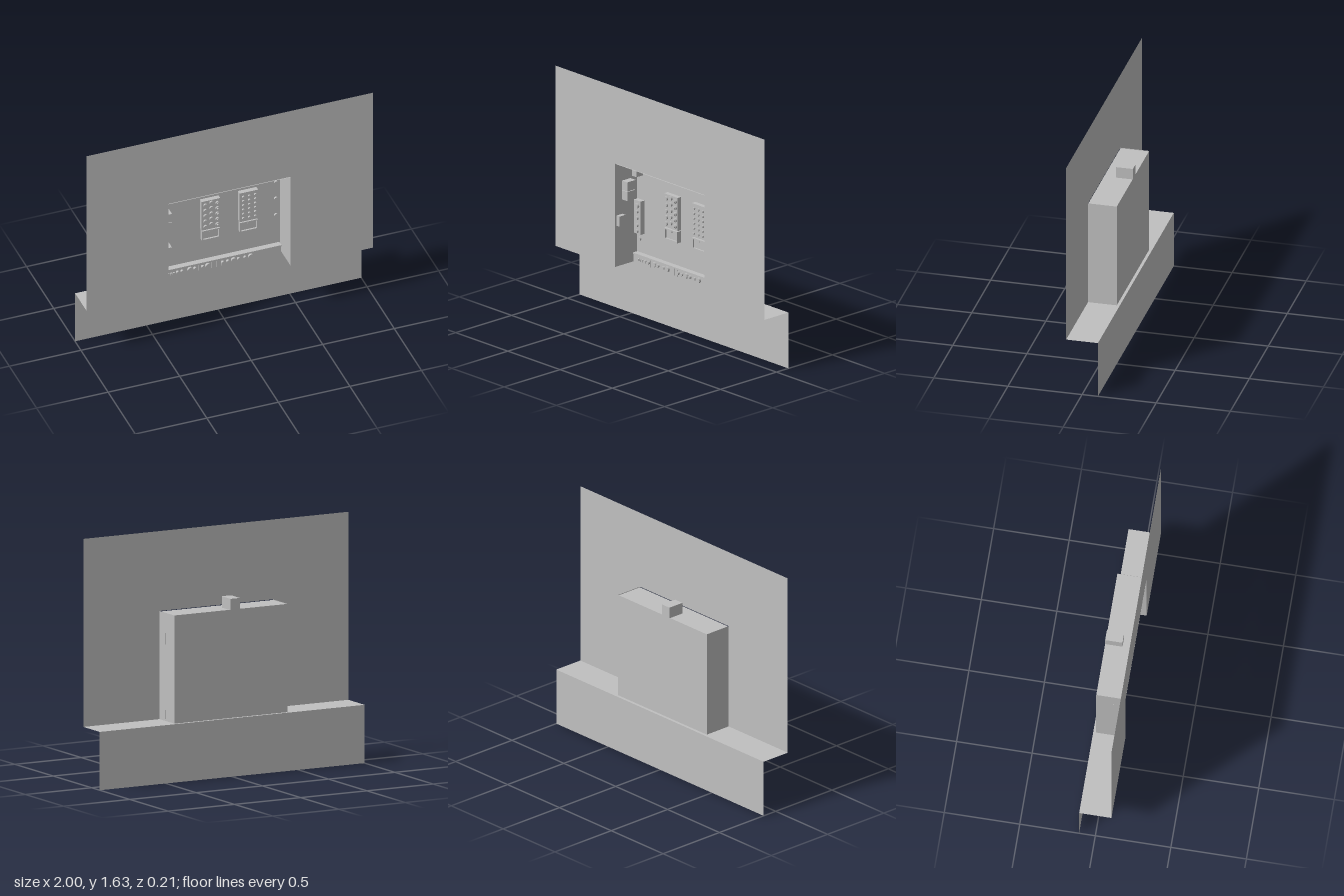
import * as THREE from 'three';

export function createModel() {
  const root = new THREE.Group();
  const grey = new THREE.MeshStandardMaterial({ color: 0xc0c0c0, side: THREE.DoubleSide });
  grey.name = 'light grey';

  const add = (name, geo, parent = root) => {
    const m = new THREE.Mesh(geo, grey);
    m.name = name;
    parent.add(m);
    return m;
  };
  const group = (name) => {
    const g = new THREE.Group();
    g.name = name;
    root.add(g);
    return g;
  };
  // Box given by its limits on each axis
  const box = (name, x0, x1, y0, y1, z0, z1, parent) => {
    const m = add(name, new THREE.BoxGeometry(x1 - x0, y1 - y0, z1 - z0), parent);
    m.position.set((x0 + x1) / 2, (y0 + y1) / 2, (z0 + z1) / 2);
    return m;
  };
  // Upright sheet facing the front
  const sheet = (name, x0, x1, y0, y1, z) => {
    const m = add(name, new THREE.PlaneGeometry(x1 - x0, y1 - y0));
    m.position.set((x0 + x1) / 2, (y0 + y1) / 2, z);
    return m;
  };
  // Upright sheet facing sideways
  const sideSheet = (name, x, y0, y1, z0, z1) => {
    const m = add(name, new THREE.PlaneGeometry(z1 - z0, y1 - y0));
    m.rotation.y = Math.PI / 2;
    m.position.set(x, (y0 + y1) / 2, (z0 + z1) / 2);
  };
  // Level sheet
  const level = (name, x0, x1, y, z0, z1) => {
    const m = add(name, new THREE.PlaneGeometry(x1 - x0, z1 - z0));
    m.rotation.x = -Math.PI / 2;
    m.position.set((x0 + x1) / 2, y, (z0 + z1) / 2);
  };
  // Round control facing the front
  const knob = (name, x, y, z, r, depth, parent) => {
    const m = add(name, new THREE.CylinderGeometry(r, r, depth, 16), parent);
    m.rotation.x = Math.PI / 2;
    m.position.set(x, y, z + depth / 2);
  };
  // Raised rectangular rim
  const frame = (name, x0, x1, y0, y1, z, t, depth, parent) => {
    const rect = (s, a, b, c, d) => s.moveTo(a, c).lineTo(b, c).lineTo(b, d).lineTo(a, d).closePath();
    const shape = rect(new THREE.Shape(), x0, x1, y0, y1);
    shape.holes.push(rect(new THREE.Path(), x0 + t, x1 - t, y0 + t, y1 - t));
    const m = add(name, new THREE.ExtrudeGeometry(shape, { depth, bevelEnabled: false }), parent);
    m.position.z = z;
  };

  const L = -0.43, R = 0.425, BOT = 0.387, TOP = 1.105;
  const FRONT = 0.107, BACK = -0.087, LOW = -0.107;

  // Upper wall with an opening that reaches its lower edge
  const wall = new THREE.Shape();
  [[-1, BOT], [L, BOT], [L, TOP], [R, TOP], [R, BOT], [1, BOT], [1, 1.635], [-1, 1.635]]
    .forEach(([x, y], i) => (i ? wall.lineTo(x, y) : wall.moveTo(x, y)));
  wall.closePath();
  add('upperWall', new THREE.ShapeGeometry(wall)).position.z = FRONT;

  // Ledge on both sides of the recess, and the set-back lower wall
  level('ledgeRight', -1, L, BOT, LOW, FRONT);
  level('ledgeLeft', R, 1, BOT, LOW, FRONT);
  level('ledgeBack', L, R, BOT, LOW, BACK);
  sheet('lowerWall', -1, 1, 0, BOT, LOW);
  box('supportBar', -0.5, 0.49, 0.365, 0.385, -0.105, -0.077);

  // Recessed housing
  sheet('housingBack', L, R, BOT, TOP, BACK);
  sideSheet('housingRightSide', L, BOT, TOP, BACK, FRONT);
  sideSheet('housingLeftSide', R, BOT, TOP, BACK, FRONT);
  level('housingTop', L, R, TOP - 0.004, BACK, FRONT);
  box('topDuct', -0.07, 0, TOP - 0.004, 1.177, BACK, 0.028);
  for (const x of [L - 0.001, R + 0.001]) {
    box('sideSlot', x - 0.001, x + 0.001, 0.895, 0.97, 0.025, 0.03);
    box('sideSlot', x - 0.001, x + 0.001, 0.4, 0.46, 0.025, 0.03);
  }

  // Two control panels, each with a framed tray below
  const panel = (name, x0, rows, r, bigLast) => {
    const g = group(name), x1 = x0 + 0.13, face = -0.055;
    box('panelBody', x0, x1, 0.705, 0.935, BACK, face, g);
    box('trayBody', x0 + 0.003, x1 - 0.002, 0.62, 0.698, BACK, face - 0.01, g);
    frame('trayRim', x0 + 0.003, x1 - 0.002, 0.62, 0.698, face - 0.01, 0.009, 0.012, g);
    box('trayLatch', x0 + 0.06, x0 + 0.068, 0.675, 0.689, face - 0.01, face - 0.004, g);
    for (let c = 0; c < 3; c++) {
      for (let i = 0; i < rows; i++) {
        const x = x0 + 0.025 + c * 0.042;
        const y = 0.732 + (i * 0.172) / (rows - 1) + (bigLast && c === 1 ? 0.012 : 0);
        knob('knob', x, y, face, r, 0.012, g);
        if (bigLast && c === 2) knob('knobCap', x, y, face + 0.012, r * 0.6, 0.008, g);
      }
    }
  };
  panel('knobPanel', -0.135, 5, 0.014, true);
  panel('buttonPanel', 0.13, 6, 0.009, false);

  // Control strip along the bottom, split into sections
  const strip = group('bottomStrip');
  const cuts = [-0.425, -0.26, -0.16, -0.07, -0.035, 0, 0.24, 0.42];
  for (let i = 0; i < cuts.length - 1; i++) {
    box('stripSection', cuts[i] + 0.001, cuts[i + 1] - 0.001, BOT + 0.002, 0.45, BACK, -0.052, strip);
  }
  box('stripTopEdge', -0.425, 0.42, 0.441, 0.452, BACK, -0.047, strip);
  [-0.305, -0.275, -0.22, -0.185, -0.13, -0.095, 0.01, 0.045, 0.085, 0.12, 0.165, 0.205].forEach((x, i) => {
    const r = i % 3 === 2 ? 0.018 : 0.011;
    knob('stripKnob', x, 0.42, -0.052, r, 0.016, strip);
  });
  for (const x of [-0.37, -0.352, -0.334]) {
    box('stripSwitch', x - 0.006, x + 0.006, 0.408, 0.424, -0.052, -0.042, strip);
  }

  // Equipment along the right side
  const side = group('sideEquipment');
  box('sidePanel', -0.42, -0.355, 0.59, 0.82, BACK, -0.052, side);
  for (const y of [0.61, 0.65, 0.70, 0.745, 0.785]) {
    knob('sideKnob', -0.385, y, -0.052, y > 0.75 ? 0.016 : 0.011, 0.014, side);
  }
  box('sideBox', L, -0.4, 0.67, 0.74, 0.04, 0.095, side);
  box('lowerSideBox', L, -0.38, 0.84, 0.903, -0.03, 0.045, side);
  box('upperSideBox', L, -0.38, 0.907, 0.97, -0.03, 0.045, side);
  box('cornerBox', -0.415, -0.372, 0.99, 1.045, BACK, -0.03, side);
  box('cornerCap', -0.42, -0.37, 1.05, 1.09, BACK, -0.03, side);

  // Brackets under the housing top
  const brackets = group('topBrackets');
  for (const [a, b] of [[-0.22, -0.11], [0.295, 0.41]]) {
    box('bracketBar', a, b, 1.085, 1.1, BACK, -0.03, brackets);
    box('bracketBlock', a + 0.04, a + 0.07, 1.05, 1.085, BACK, -0.045, brackets);
    box('bracketEnd', a, a + 0.015, 1.05, 1.085, BACK, -0.045, brackets);
    box('bracketEnd', b - 0.015, b, 1.05, 1.085, BACK, -0.045, brackets);
  }

  // Round fasteners on the back panel
  for (const [x, y] of [[0.395, 0.94], [0.395, 0.81], [0.395, 0.677], [-0.4, 0.545]]) {
    knob('fastener', x, y, BACK, 0.013, 0.012);
  }
  return root;
}
